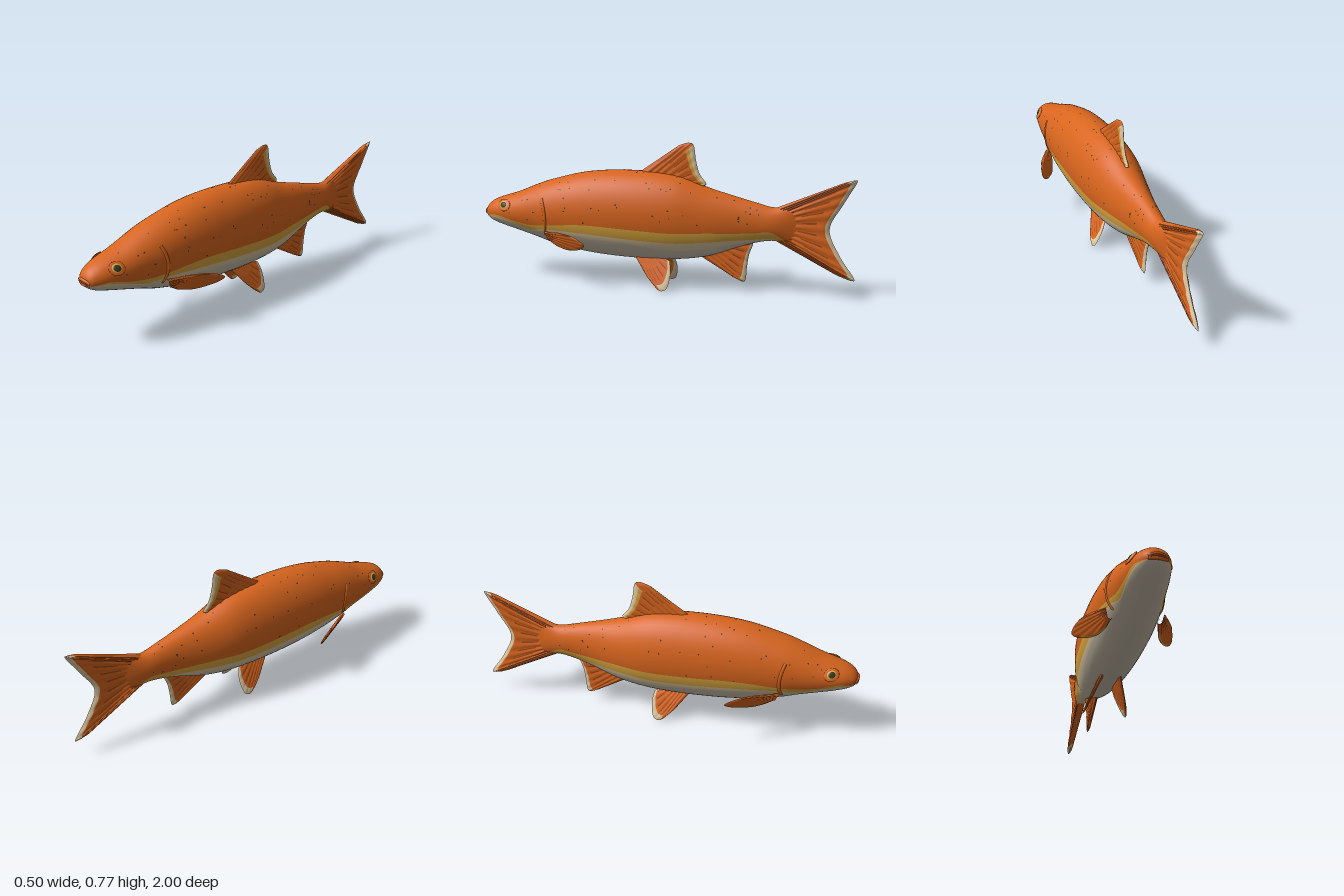
import * as THREE from 'three';

const mat = (name, color) => {
  const m = new THREE.MeshStandardMaterial({ color });
  m.name = name;
  return m;
};

// Body stations: z, top, bottom, half width, then lower limits of orange, gold and cream
const STATIONS = [
  [0.995, 0.352, 0.342, 0.004, 0.347, 0.346, 0.345],
  [0.982, 0.386, 0.322, 0.042, 0.338, 0.337, 0.334],
  [0.95, 0.415, 0.3, 0.067, 0.342, 0.338, 0.333],
  [0.9, 0.437, 0.283, 0.087, 0.348, 0.337, 0.328],
  [0.8, 0.47, 0.256, 0.108, 0.325, 0.312, 0.305],
  [0.7, 0.512, 0.228, 0.124, 0.312, 0.283, 0.277],
  [0.61, 0.545, 0.2, 0.139, 0.318, 0.295, 0.283],
  [0.4, 0.597, 0.16, 0.156, 0.338, 0.29, 0.265],
  [0.15, 0.614, 0.145, 0.159, 0.33, 0.275, 0.245],
  [-0.08, 0.597, 0.152, 0.145, 0.32, 0.265, 0.22],
  [-0.25, 0.54, 0.18, 0.113, 0.325, 0.275, 0.24],
  [-0.4, 0.5, 0.235, 0.078, 0.325, 0.285, 0.265],
  [-0.5, 0.475, 0.268, 0.062, 0.33, 0.292, 0.28],
  [-0.58, 0.457, 0.283, 0.052, 0.335, 0.297, 0.285],
  [-0.65, 0.465, 0.275, 0.034, 0.29, 0.275, 0.27],
  [-0.72, 0.478, 0.262, 0.01, 0.25, 0.25, 0.25],
];
const LAST = STATIONS.length - 1;

// Smooth station at a given z
function station(z) {
  let i = 0;
  while (i < LAST - 1 && z < STATIONS[i + 1][0]) i++;
  const a = STATIONS[i], b = STATIONS[i + 1], h = b[0] - a[0], t = (z - a[0]) / h;
  const slope = (n, k) => {
    const p = STATIONS[Math.max(0, n - 1)], q = STATIONS[Math.min(LAST, n + 1)];
    return (q[k] - p[k]) / (q[0] - p[0]);
  };
  return a.map((v, k) => k === 0 ? z :
    (2 * t ** 3 - 3 * t * t + 1) * v + (3 * t * t - 2 * t ** 3) * b[k] +
    h * ((t ** 3 - 2 * t * t + t) * slope(i, k) + (t ** 3 - t * t) * slope(i + 1, k)));
}

// Point on the body; phi runs from the back (0) down the left side to the belly (PI)
function skin(z, phi) {
  const [, top, bottom, w] = station(z);
  return new THREE.Vector3(w * Math.sin(phi), (top + bottom) / 2 + (top - bottom) / 2 * Math.cos(phi), z);
}
const phiAt = (z, y) => {
  const [, top, bottom] = station(z);
  return Math.acos(THREE.MathUtils.clamp((2 * y - top - bottom) / (top - bottom), -1, 1));
};
function skinNormal(z, phi) {
  const e = 0.004, p = skin(z, phi);
  return skin(z, phi + e).sub(p).cross(skin(z - e, phi).sub(p)).normalize();
}

// Groups triangles by material so that neighbouring colours share smooth normals
function groupedGeometry(pos, lists) {
  const g = new THREE.BufferGeometry();
  g.setAttribute('position', new THREE.Float32BufferAttribute(pos, 3));
  let start = 0;
  lists.forEach((l, k) => { g.addGroup(start, l.length, k); start += l.length; });
  g.setIndex(lists.flat());
  g.computeVertexNormals();
  return g;
}

function bodyGeometry() {
  const segs = [14, 3, 2, 7], half = 26, n = half * 2, pos = [], lists = [[], [], [], []];
  const bandOf = [];
  segs.forEach((s, k) => { for (let j = 0; j < s; j++) bandOf.push(k); });
  const zs = [];
  for (let i = 0; i < LAST; i++)
    for (let k = 0; k < 5; k++) zs.push(THREE.MathUtils.lerp(STATIONS[i][0], STATIONS[i + 1][0], k / 5));
  zs.push(STATIONS[LAST][0]);
  zs.forEach((z) => {
    const s = station(z), limits = [0, phiAt(z, s[4]), phiAt(z, s[5]), phiAt(z, s[6]), Math.PI], phis = [];
    segs.forEach((c, k) => {
      for (let j = 0; j < c; j++) phis.push(THREE.MathUtils.lerp(limits[k], limits[k + 1], j / c));
    });
    phis.push(Math.PI);
    for (let j = 0; j < n; j++) pos.push(...skin(z, j <= half ? phis[j] : -phis[n - j]).toArray());
  });
  for (let i = 0; i < zs.length - 1; i++)
    for (let j = 0; j < n; j++) {
      const a = i * n + j, b = i * n + (j + 1) % n, c = a + n, d = b + n;
      lists[bandOf[j < half ? j : n - 1 - j]].push(a, b, c, b, d, c);
    }
  return groupedGeometry(pos, lists);
}

// Fin of rays fanning from a root line to a tip curve, as [z, y] points; xAt bends it sideways.
// Beyond v = edge it takes the rim colour, except near its leading side (u < lead);
// an inner band starts at v = inner.
function finGeometry({ root, tip, thick, edge, inner = edge, lead = 0, rays, xAt = () => 0 }) {
  const v2 = (l) => l.map(([z, y]) => new THREE.Vector2(z, y));
  const [r0, r1] = v2(root), curve = new THREE.SplineCurve(v2(tip));
  const nu = rays * 6, nv = 24, pos = [], lists = [[], [], [], []], sheet = (nu + 1) * (nv + 1);
  const du = r1.clone().sub(r0), dv = curve.getPoint(0.5).sub(r0);
  const facing = du.y * dv.x - du.x * dv.y > 0 ? 1 : -1;
  for (const s of [1, -1])
    for (let i = 0; i <= nu; i++)
      for (let j = 0; j <= nv; j++) {
        const u = i / nu, v = j / nv;
        const p = r0.clone().lerp(r1, u).lerp(curve.getPoint(u), v);
        const taper = Math.sqrt(Math.min(1, 10 * u, 10 * (1 - u), 10 * (1 - v)));
        const t = thick * (1 - 0.4 * v) * taper * (0.88 + 0.12 * Math.cos(2 * Math.PI * rays * u));
        pos.push(xAt(p.x, p.y) + s * t, p.y, p.x);
      }
  for (const s of [1, -1])
    for (let i = 0; i < nu; i++)
      for (let j = 0; j < nv; j++) {
        const a = (s < 0 ? sheet : 0) + i * (nv + 1) + j, b = a + nv + 1, c = a + 1, d = b + 1;
        const v = (j + 0.5) / nv, trailing = i / nu >= lead;
        const groove = i % 6 === 3 && v > 0.4 && v < 0.75;
        const list = lists[trailing && v > edge ? 1 : trailing && v > inner ? 3 : groove ? 2 : 0];
        if (s * facing > 0) list.push(a, b, c, b, d, c);
        else list.push(a, c, b, b, c, d);
      }
  return groupedGeometry(pos, lists);
}

export function createModel() {
  const orange = mat('orange', 0xd8651e), gold = mat('gold', 0xdda83f), cream = mat('cream', 0xe0c9a2);
  const belly = mat('belly grey', 0xcfc3af), rust = mat('rust', 0x9a4519), dark = mat('dark', 0x39351f);
  const model = new THREE.Group();
  const add = (name, geometry, material) => {
    const m = new THREE.Mesh(geometry, material);
    m.name = name;
    model.add(m);
    return m;
  };
  const tube = (name, pts, r, material) =>
    add(name, new THREE.TubeGeometry(new THREE.CatmullRomCurve3(pts), 28, r, 8), material);

  add('body', bodyGeometry(), [orange, gold, cream, belly]);

  // Middle fins
  const finColours = [orange, cream, rust, gold];
  add('tailFin', finGeometry({
    root: [[-0.59, 0.452], [-0.59, 0.288]], thick: 0.022, edge: 0.93, rays: 14, lead: 0.08,
    tip: [[-0.93, 0.6], [-0.985, 0.616], [-0.99, 0.6], [-0.93, 0.49], [-0.868, 0.36], [-0.92, 0.23],
      [-0.998, 0.115], [-0.985, 0.1], [-0.92, 0.12]],
  }), finColours);
  add('dorsalFin', finGeometry({
    root: [[0.13, 0.6], [-0.17, 0.54]], thick: 0.014, edge: 0.87, inner: 0.78, lead: 0.3, rays: 9,
    tip: [[-0.09, 0.755], [-0.14, 0.77], [-0.168, 0.755], [-0.18, 0.68], [-0.2, 0.61], [-0.235, 0.562], [-0.215, 0.546]],
  }), finColours);
  add('analFin', finGeometry({
    root: [[-0.19, 0.185], [-0.42, 0.255]], thick: 0.013, edge: 0.88, lead: 0.2, rays: 8,
    tip: [[-0.39, 0.07], [-0.435, 0.052], [-0.45, 0.07], [-0.455, 0.13], [-0.465, 0.2], [-0.485, 0.26], [-0.47, 0.265]],
  }), finColours);

  for (const side of [1, -1]) {
    const name = side > 0 ? 'left' : 'right';
    const flip = (p) => p.setX(p.x * side);

    // Paired fins
    add(name + 'PelvicFin', finGeometry({
      root: [[0.15, 0.18], [0.02, 0.18]], thick: 0.01, edge: 0.82, lead: 0.3, rays: 7,
      xAt: (z, y) => side * (0.045 + 0.42 * (0.16 - y)),
      tip: [[0.06, 0.065], [0.0, 0.01], [-0.03, 0.001], [-0.055, 0.022], [-0.066, 0.09], [-0.055, 0.15]],
    }), finColours);
    add(name + 'PectoralFin', finGeometry({
      root: [[0.61, 0.285], [0.59, 0.235]], thick: 0.012, edge: 0.92, lead: 0.62, rays: 7,
      xAt: (z, y) => side * (0.118 + 0.5 * (0.6 - z) + 0.5 * (y - 0.25)),
      tip: [[0.52, 0.298], [0.43, 0.296], [0.365, 0.274], [0.35, 0.25], [0.39, 0.22], [0.47, 0.2], [0.55, 0.212]],
    }), [orange, gold, orange, gold]);

    // Gill cover rim, sunk into the side
    const rim = Array.from({ length: 8 }, (_, i) => {
      const y = THREE.MathUtils.lerp(0.46, 0.265, i / 7), z = 0.605 + 2 * (y - 0.35) ** 2, phi = phiAt(z, y);
      return flip(skin(z, phi).addScaledVector(skinNormal(z, phi), -0.005));
    });
    tube(name + 'GillRim', rim, 0.01, orange);

    // Eye: orange socket, gold iris and dark pupil
    const z = 0.858, phi = phiAt(z, 0.405), n = flip(skinNormal(z, phi)), at = flip(skin(z, phi));
    [['Socket', 0.04, 0.006, orange, 0], ['Iris', 0.029, 0.008, gold, 0.001], ['Pupil', 0.02, 0.006, dark, 0.005]]
      .forEach(([part, r, depth, material, out]) => {
        const m = add(name + 'Eye' + part, new THREE.SphereGeometry(1, 24, 16), material);
        m.scale.set(r, r * 0.85, depth);
        m.position.copy(at).addScaledVector(n, out);
        m.quaternion.setFromUnitVectors(new THREE.Vector3(0, 0, 1), n);
      });
  }

  // Mouth
  const lip = (y, sag, z) => [-1, -0.6, 0, 0.6, 1].map((k) =>
    new THREE.Vector3(0.042 * k, y - sag * k * k, z - 0.012 * k * k));
  tube('upperLip', lip(0.362, 0.012, 0.992), 0.008, orange);
  tube('mouthLine', lip(0.351, 0.006, 0.993), 0.006, rust);
  tube('lowerLip', lip(0.339, -0.003, 0.99), 0.008, orange);

  // Scattered dark specks on the back and flanks
  let seed = 7;
  const rand = () => (seed = (seed * 16807) % 2147483647) / 2147483647;
  for (let i = 0; i < 110; i++) {
    const z = 0.82 - 1.4 * rand(), phi = (rand() * 2 - 1) * phiAt(z, 0.34), n = skinNormal(z, phi);
    const m = add('speck', new THREE.CircleGeometry(0.003 + 0.002 * rand(), 7), dark);
    m.position.copy(skin(z, phi)).addScaledVector(n, 0.002);
    m.quaternion.setFromUnitVectors(new THREE.Vector3(0, 0, 1), n);
  }
  return model;
}
